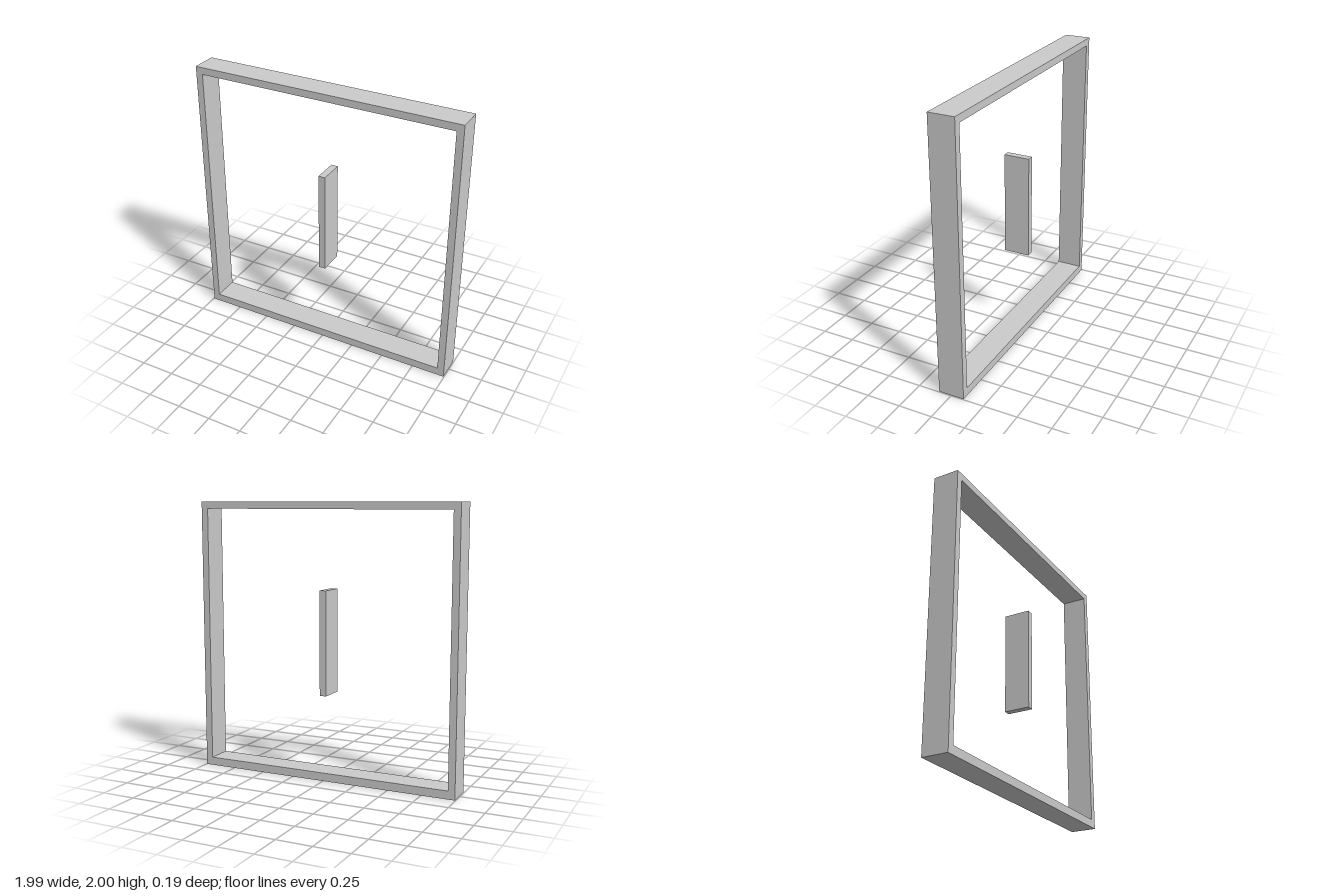
import * as THREE from 'three';

const DEPTH = 0.19;

export function createModel() {
  const group = new THREE.Group();
  const material = new THREE.MeshStandardMaterial({ color: 0xcccccc, flatShading: true });

  // Rectangle corners, counter-clockwise from the lower left
  const rect = (x, y0, y1) =>
    [[-x, y0], [x, y0], [x, y1], [-x, y1]].map(([px, py]) => new THREE.Vector2(px, py));

  // Square frame with a slightly thicker bottom rail
  const outline = new THREE.Shape(rect(0.995, 0, 2));
  outline.holes.push(new THREE.Path(rect(0.944, 0.06, 1.948).reverse()));
  const frameGeometry = new THREE.ExtrudeGeometry(outline, { depth: DEPTH, bevelEnabled: false });
  frameGeometry.translate(0, 0, -DEPTH / 2);
  const frame = new THREE.Mesh(frameGeometry, material);
  frame.name = 'frame';
  group.add(frame);

  // Upright bar floating in the middle of the opening
  const bar = new THREE.Mesh(new THREE.BoxGeometry(0.05, 0.755, DEPTH), material);
  bar.name = 'centreBar';
  bar.position.y = 1.005;
  group.add(bar);

  return group;
}
